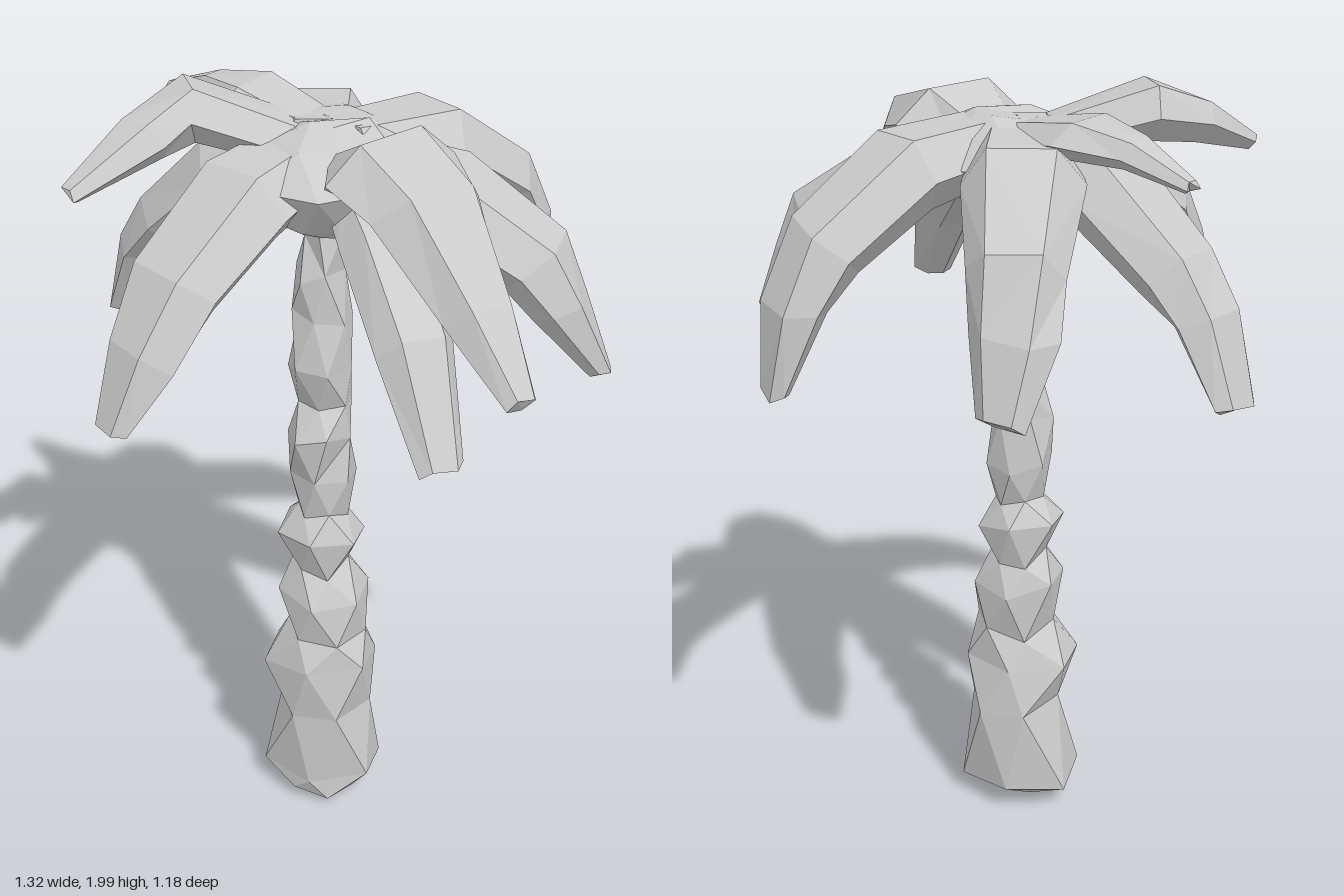
import * as THREE from 'three';

const material = new THREE.MeshStandardMaterial({ color: 0xcccccc, flatShading: true });

// Seeded noise in -1..1
function makeNoise(seed) {
  let s = seed;
  return () => {
    s = (s * 16807) % 2147483647;
    return (s / 2147483647) * 2 - 1;
  };
}

// Skins a series of rings with flat facets, splitting quads on the shorter diagonal
function loft(rings) {
  const pos = [];
  const tri = (a, b, c) => pos.push(...a.toArray(), ...b.toArray(), ...c.toArray());
  const n = rings[0].length;
  for (let k = 0; k < rings.length - 1; k++) {
    const a = rings[k], b = rings[k + 1];
    for (let i = 0; i < n; i++) {
      const j = (i + 1) % n;
      if (a[i].distanceTo(b[j]) < a[j].distanceTo(b[i])) {
        tri(a[i], b[i], b[j]);
        tri(a[i], b[j], a[j]);
      } else {
        tri(a[i], b[i], a[j]);
        tri(a[j], b[i], b[j]);
      }
    }
  }
  const first = rings[0], last = rings[rings.length - 1];
  for (let i = 1; i < n - 1; i++) {
    tri(first[0], first[i], first[i + 1]);
    tri(last[0], last[i + 1], last[i]);
  }
  const g = new THREE.BufferGeometry();
  g.setAttribute('position', new THREE.Float32BufferAttribute(pos, 3));
  g.computeVertexNormals();
  return g;
}

function addMesh(group, name, geometry) {
  const mesh = new THREE.Mesh(geometry, material);
  mesh.name = name;
  group.add(mesh);
}

// Trunk sections: y, x min, x max, z min, z max
const TRUNK = [
  [0.02, -0.14, 0.05, 0.0, 0.19],
  [0.07, -0.19, 0.10, -0.07, 0.21],
  [0.31, -0.15, 0.09, -0.06, 0.20],
  [0.45, -0.18, 0.09, -0.05, 0.22],
  [0.53, -0.13, 0.08, -0.01, 0.18],
  [0.66, -0.14, 0.07, -0.04, 0.20],
  [0.74, -0.11, 0.03, 0.0, 0.15],
  [0.83, -0.14, 0.06, -0.03, 0.19],
  [0.90, -0.10, 0.03, 0.02, 0.14],
  [1.00, -0.11, 0.04, -0.01, 0.16],
  [1.14, -0.12, 0.04, 0.02, 0.17],
  [1.20, -0.09, 0.03, 0.02, 0.13],
  [1.32, -0.12, 0.04, 0.01, 0.16],
  [1.45, -0.10, 0.03, 0.0, 0.15],
  [1.56, -0.10, 0.02, -0.01, 0.14],
  [1.66, -0.07, 0.02, 0.0, 0.13],
  [1.76, -0.09, 0.04, -0.02, 0.14],
];

// Crown sections, same layout: flared underside, wide rim, flattish top
const CROWN = [
  [1.67, -0.09, 0.05, -0.04, 0.16],
  [1.71, -0.15, 0.11, -0.10, 0.21],
  [1.82, -0.26, 0.21, -0.21, 0.28],
  [1.88, -0.19, 0.13, -0.15, 0.18],
  [1.91, -0.10, 0.06, -0.06, 0.08],
];

// Rings fitted to their extents, every other one turned by half a side
function stackGeometry(sections, sides, wobble) {
  const noise = makeNoise(41);
  return loft(sections.map(([y, x0, x1, z0, z1], k) => {
    const angles = Array.from({ length: sides }, (_, i) => ((i + (k % 2) * 0.5) / sides) * Math.PI * 2);
    const fitX = Math.max(...angles.map((a) => Math.abs(Math.cos(a))));
    const fitZ = Math.max(...angles.map((a) => Math.abs(Math.sin(a))));
    return angles.map((a) => new THREE.Vector3(
      (x0 + x1) / 2 + (Math.cos(a) / fitX) * (x1 - x0) / 2,
      Math.max(0, y + noise() * wobble),
      (z0 + z1) / 2 + (Math.sin(a) / fitZ) * (z1 - z0) / 2
    ));
  }));
}

// Fronds: ridge stations of x, y, z, half width, depth
const FRONDS = {
  backFrond: [[-0.05, 1.91, 0.02, 0.11, 0.14], [-0.13, 1.89, -0.23, 0.14, 0.18],
    [-0.18, 1.71, -0.46, 0.115, 0.15], [-0.185, 1.55, -0.53, 0.10, 0.12], [-0.18, 1.37, -0.58, 0.06, 0.05]],
  backLeftFrond: [[0.0, 1.91, 0.03, 0.11, 0.14], [0.18, 1.89, -0.22, 0.13, 0.18],
    [0.33, 1.72, -0.40, 0.12, 0.16], [0.38, 1.55, -0.47, 0.10, 0.12], [0.40, 1.35, -0.49, 0.055, 0.05]],
  leftFrond: [[0.06, 1.88, 0.04, 0.11, 0.13], [0.28, 1.84, 0.04, 0.15, 0.18],
    [0.51, 1.69, 0.05, 0.12, 0.16], [0.58, 1.55, 0.05, 0.10, 0.12], [0.65, 1.38, 0.04, 0.03, 0.05]],
  frontLeftUpperFrond: [[0.02, 1.86, 0.08, 0.10, 0.14], [0.15, 1.94, 0.16, 0.17, 0.16],
    [0.29, 1.88, 0.30, 0.14, 0.16], [0.43, 1.69, 0.43, 0.09, 0.13], [0.53, 1.52, 0.51, 0.04, 0.05]],
  frontLeftLowerFrond: [[0.03, 1.82, 0.06, 0.07, 0.10], [0.17, 1.76, 0.27, 0.10, 0.13],
    [0.29, 1.60, 0.44, 0.09, 0.12], [0.37, 1.35, 0.55, 0.055, 0.05]],
  frontRightFrond: [[-0.05, 1.91, 0.02, 0.11, 0.14], [-0.20, 1.85, 0.24, 0.15, 0.18],
    [-0.31, 1.68, 0.44, 0.13, 0.16], [-0.36, 1.53, 0.52, 0.105, 0.13], [-0.40, 1.36, 0.57, 0.06, 0.05]],
  rightFrond: [[-0.07, 1.90, 0.02, 0.11, 0.14], [-0.32, 1.83, -0.05, 0.14, 0.18],
    [-0.51, 1.64, -0.10, 0.12, 0.16], [-0.58, 1.52, -0.13, 0.10, 0.12], [-0.64, 1.31, -0.16, 0.07, 0.05]],
  backRightSmallFrond: [[-0.05, 1.90, 0.0, 0.09, 0.08], [-0.25, 1.94, -0.11, 0.12, 0.09],
    [-0.38, 1.92, -0.19, 0.06, 0.07], [-0.52, 1.86, -0.28, 0.02, 0.03]],
  frontRightSmallFrond: [[-0.10, 1.90, 0.02, 0.09, 0.10], [-0.34, 1.99, 0.08, 0.10, 0.13],
    [-0.43, 1.93, 0.21, 0.08, 0.10], [-0.54, 1.82, 0.36, 0.03, 0.04]],
};

// Frond section: sloping shoulders over a shallow keel, in half widths and depths
const SECTION = [[0.55, 0], [-0.55, 0], [-1, -0.5], [-0.4, -1], [0.4, -1], [1, -0.5]];

function frondGeometry(stations, seed) {
  const noise = makeNoise(seed);
  const pts = stations.map(([x, y, z]) => new THREE.Vector3(x, y, z));
  const up = new THREE.Vector3(0, 1, 0);
  return loft(stations.map(([, , , w, h], k) => {
    const t = pts[Math.min(k + 1, pts.length - 1)].clone().sub(pts[Math.max(k - 1, 0)]).normalize();
    const side = t.clone().cross(up).normalize();
    const normal = side.clone().cross(t);
    return SECTION.map(([u, v]) => pts[k].clone()
      .addScaledVector(side, u * w * (1 + noise() * 0.05))
      .addScaledVector(normal, v * h)
      .addScaledVector(t, noise() * 0.015));
  }));
}

export function createModel() {
  const palm = new THREE.Group();
  palm.name = 'palmTree';

  addMesh(palm, 'trunk', stackGeometry(TRUNK, 6, 0.02));
  addMesh(palm, 'crownCore', stackGeometry(CROWN, 9, 0.01));

  const fronds = new THREE.Group();
  fronds.name = 'fronds';
  Object.entries(FRONDS).forEach(([name, stations], i) => {
    addMesh(fronds, name, frondGeometry(stations, 101 + i * 977));
  });
  palm.add(fronds);
  return palm;
}
